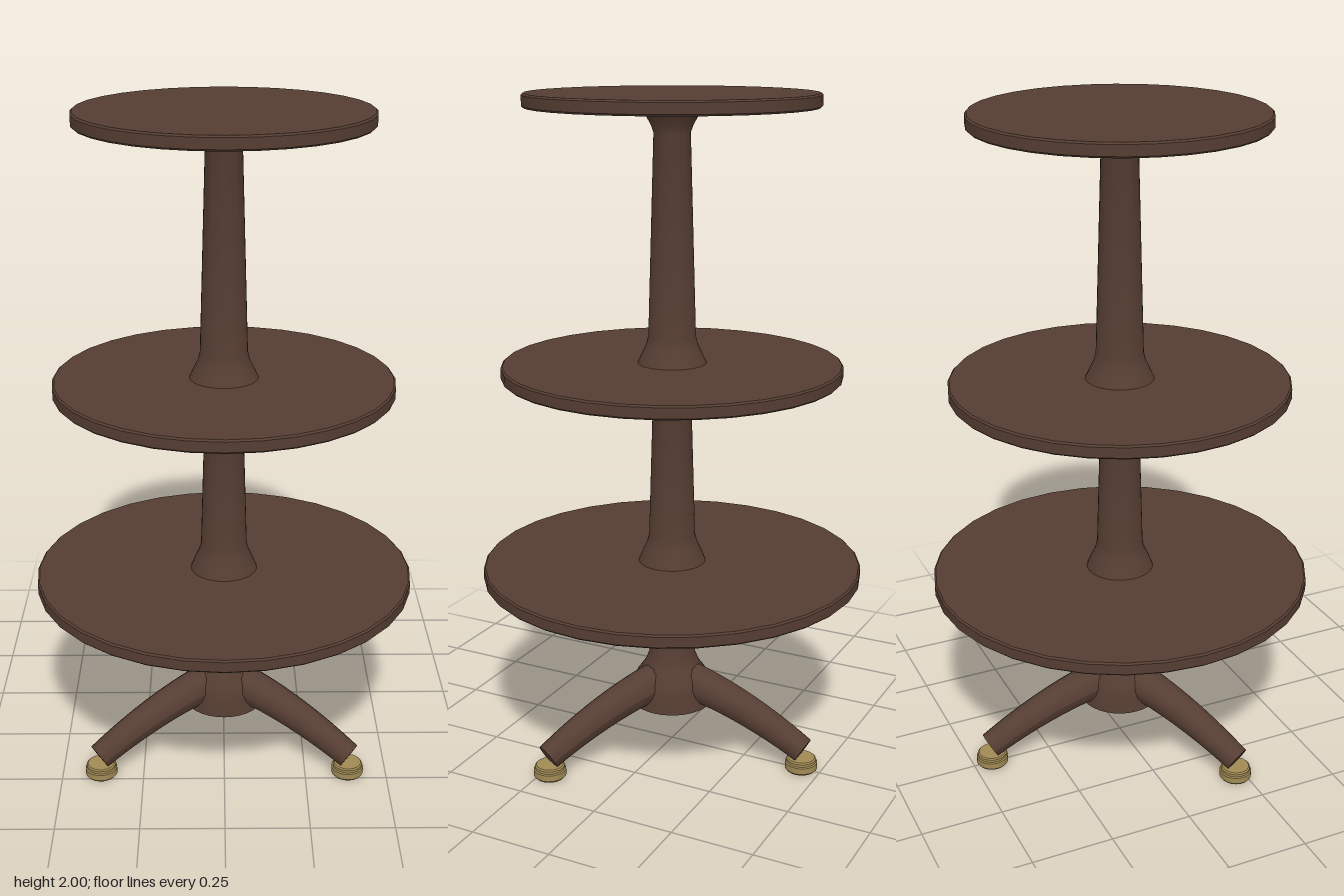
import * as THREE from 'three';
import { toCreasedNormals } from 'three/addons/utils/BufferGeometryUtils.js';

const wood = new THREE.MeshStandardMaterial({ color: 0x553d32 });
const brass = new THREE.MeshStandardMaterial({ color: 0xa08a55 });

// Turned part from [radius, height] points, bottom to top
function turned(name, profile, sides, material) {
  const points = profile.map(([r, y]) => new THREE.Vector2(r, y));
  const geometry = toCreasedNormals(new THREE.LatheGeometry(points, sides), 0.6);
  const mesh = new THREE.Mesh(geometry, material);
  mesh.name = name;
  return mesh;
}

// Round shelf with a small softened rim
function shelf(name, radius, top) {
  const h = 0.04, b = 0.005, y = top - h;
  return turned(name, [
    [0, y], [radius - b, y], [radius, y + b],
    [radius, top - b], [radius - b, top], [0, top],
  ], 32, wood);
}

// Curved leg running along +z, tapering towards a closed end
function legGeometry() {
  const rings = 12, sides = 16;
  const curve = new THREE.QuadraticBezierCurve3(
    new THREE.Vector3(0, 0.215, 0.06),
    new THREE.Vector3(0, 0.175, 0.25),
    new THREE.Vector3(0, 0.063, 0.445));
  const tube = new THREE.TubeGeometry(curve, rings, 1, sides);
  const pos = tube.attributes.position;
  const p = new THREE.Vector3();
  for (let i = 0; i < pos.count; i++) {
    const t = Math.floor(i / (sides + 1)) / rings;
    const centre = curve.getPointAt(t);
    p.fromBufferAttribute(pos, i).sub(centre)
      .multiplyScalar(THREE.MathUtils.lerp(0.058, 0.04, t)).add(centre);
    pos.setXYZ(i, p.x, p.y, p.z);
  }
  tube.computeVertexNormals();
  const cap = new THREE.CircleGeometry(0.04, sides);
  const direction = curve.getTangentAt(1);
  cap.applyQuaternion(new THREE.Quaternion().setFromUnitVectors(new THREE.Vector3(0, 0, 1), direction));
  const end = curve.getPointAt(1);
  cap.translate(end.x, end.y, end.z);
  return [tube, cap];
}

export function createModel() {
  const model = new THREE.Group();
  model.name = 'tieredTable';

  // Shelves
  model.add(
    shelf('bottomShelf', 0.573, 0.605),
    shelf('middleShelf', 0.503, 1.225),
    shelf('topShelf', 0.422, 2));

  // Column sections, flared where they meet the shelves
  model.add(
    turned('columnBase', [
      [0, 0.14], [0.125, 0.14], [0.118, 0.19], [0.11, 0.23], [0.085, 0.265],
      [0.071, 0.3], [0.056, 0.54], [0.07, 0.566],
    ], 32, wood),
    turned('middleColumn', [
      [0.102, 0.604], [0.09, 0.635], [0.076, 0.665], [0.07, 0.69], [0.056, 1.16], [0.072, 1.186],
    ], 32, wood),
    turned('upperColumn', [
      [0.102, 1.224], [0.09, 1.25], [0.076, 1.28], [0.07, 1.305], [0.053, 1.89],
      [0.06, 1.91], [0.074, 1.935], [0.09, 1.961],
    ], 32, wood));

  // Three legs, one pointing straight back, each on a brass foot
  const [tube, cap] = legGeometry();
  ['backLeg', 'leftLeg', 'rightLeg'].forEach((name, i) => {
    const leg = new THREE.Group();
    leg.name = name;
    const shaft = new THREE.Mesh(tube, wood);
    shaft.name = 'legShaft';
    const end = new THREE.Mesh(cap, wood);
    end.name = 'legEnd';
    const foot = turned('foot', [
      [0, 0], [0.044, 0], [0.049, 0.006], [0.049, 0.025], [0.045, 0.028],
      [0.045, 0.036], [0.041, 0.04], [0, 0.04],
    ], 20, brass);
    foot.position.z = 0.44;
    leg.add(shaft, end, foot);
    leg.rotation.y = Math.PI + i * Math.PI * 2 / 3;
    model.add(leg);
  });
  // Rotating on from the back leg reaches the right front first
  model.children[model.children.length - 2].name = 'rightLeg';
  model.children[model.children.length - 1].name = 'leftLeg';
  if (model.children[model.children.length - 2].rotation.y % (2 * Math.PI) < Math.PI) {
    model.children[model.children.length - 2].name = 'leftLeg';
    model.children[model.children.length - 1].name = 'rightLeg';
  }
  return model;
}
